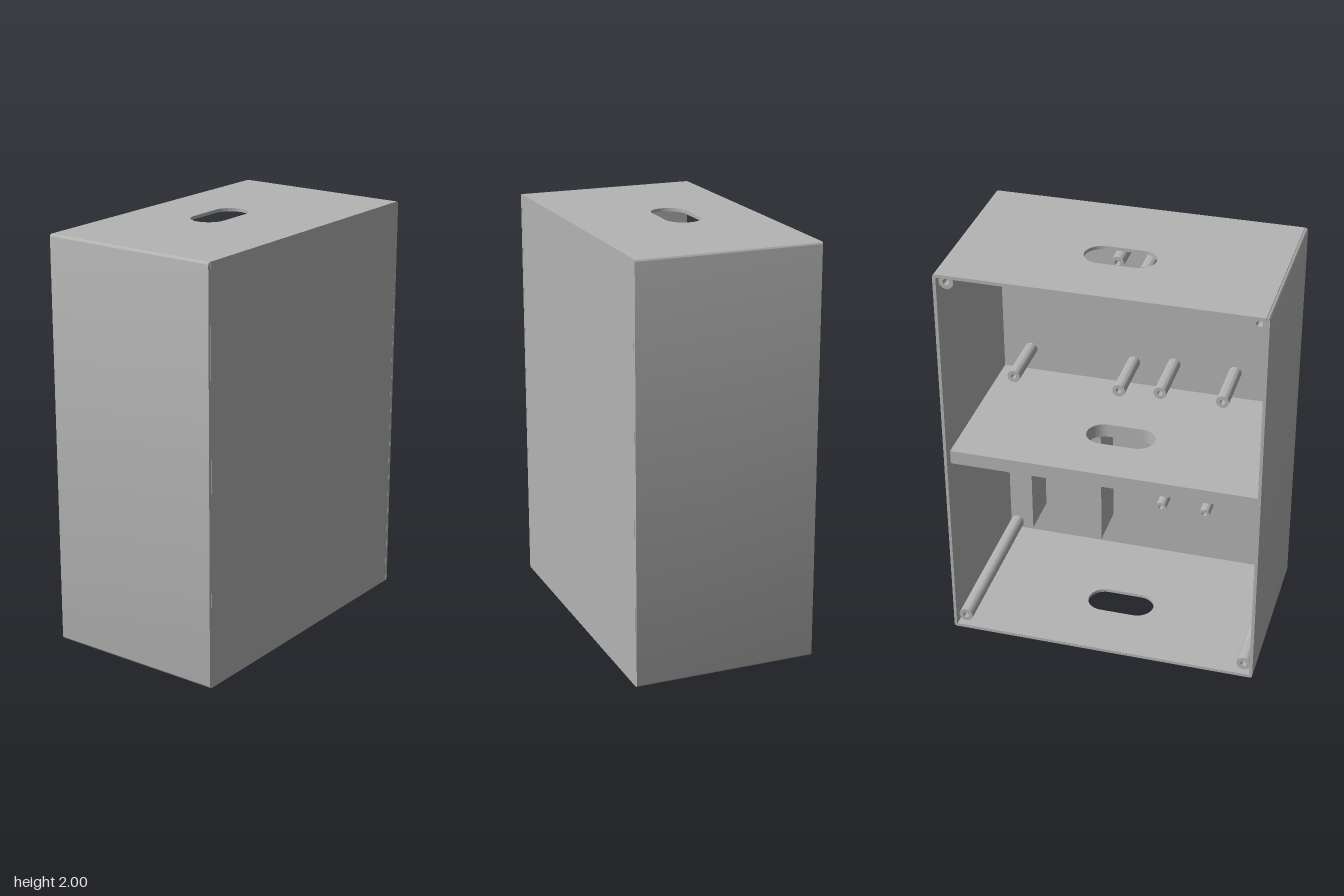
import * as THREE from 'three';
import { toCreasedNormals } from 'three/addons/utils/BufferGeometryUtils.js';

const W = 0.765, H = 2, D = 0.445;   // half width, height, half depth
const T = 0.016, R = 0.014;          // wall thickness, outer edge rounding
const FRONT_IN = 0.425;              // inner face of the front wall

export function createModel() {
  const group = new THREE.Group();
  const grey = new THREE.MeshStandardMaterial({ color: 0xb4b4b4 });
  grey.name = 'grey plastic';

  const add = (name, geometry) => {
    const mesh = new THREE.Mesh(geometry, grey);
    mesh.name = name;
    group.add(mesh);
    return mesh;
  };
  const extrude = (shape, depth) => toCreasedNormals(
    new THREE.ExtrudeGeometry(shape, { depth, bevelEnabled: false, curveSegments: 16 }), 0.6);
  const box = (name, x0, x1, y0, y1, z0, z1) => {
    add(name, new THREE.BoxGeometry(x1 - x0, y1 - y0, z1 - z0))
      .position.set((x0 + x1) / 2, (y0 + y1) / 2, (z0 + z1) / 2);
  };

  // Horizontal plate with a rounded hand slot, lying from y0 to y0 + thickness
  const slottedPlate = (name, y0, thickness, zBack, zFront) => {
    const w = W - T, r = 0.085, half = 0.17 - r, zc = -0.065;
    const shape = new THREE.Shape();
    shape.moveTo(-w, -zFront);
    shape.lineTo(w, -zFront);
    shape.lineTo(w, -zBack);
    shape.lineTo(-w, -zBack);
    shape.closePath();
    const slot = new THREE.Path();
    slot.absarc(half, -zc, r, -Math.PI / 2, Math.PI / 2, false);
    slot.absarc(-half, -zc, r, Math.PI / 2, Math.PI * 1.5, false);
    slot.closePath();
    shape.holes.push(slot);
    const geometry = extrude(shape, thickness);
    geometry.rotateX(-Math.PI / 2);
    add(name, geometry).position.y = y0;
  };

  // Hollow round standoff growing from the front wall towards the back
  const standoff = (name, x, y, radius, hole, zEnd) => {
    const shape = new THREE.Shape();
    shape.absarc(0, 0, radius, 0, Math.PI * 2, false);
    const bore = new THREE.Path();
    bore.absarc(0, 0, hole, 0, Math.PI * 2, true);
    shape.holes.push(bore);
    add(name, extrude(shape, FRONT_IN - zEnd)).position.set(x, y, zEnd);
  };

  // Case: top, bottom, side walls with rounded outer edges, closed front, open back
  slottedPlate('topPanel', H - T, T, -D, D);
  slottedPlate('bottomPanel', 0, T, -D, D);
  for (const side of [1, -1]) {
    const wall = new THREE.Shape();
    if (side > 0) {
      wall.moveTo(W - T, 0);
      wall.absarc(W - R, R, R, -Math.PI / 2, 0, false);
      wall.absarc(W - R, H - R, R, 0, Math.PI / 2, false);
      wall.lineTo(W - T, H);
    } else {
      wall.moveTo(-W + T, H);
      wall.absarc(-W + R, H - R, R, Math.PI / 2, Math.PI, false);
      wall.absarc(-W + R, R, R, Math.PI, Math.PI * 1.5, false);
      wall.lineTo(-W + T, 0);
    }
    wall.closePath();
    add(side > 0 ? 'leftWall' : 'rightWall', extrude(wall, 2 * D)).position.z = -D;
  }
  box('frontPanel', -W + T, W - T, T, H - T, FRONT_IN, D);

  // Middle shelf
  slottedPlate('shelf', 0.96, 0.07, -0.4, FRONT_IN);

  // Long screw posts in the four corners
  for (const x of [-0.714, 0.714])
    for (const y of [0.051, H - 0.051]) standoff('cornerPost', x, y, 0.035, 0.015, -0.41);

  // Board standoffs in the upper compartment
  const upper = [
    [0.605, 1.15], [0.067, 1.155], [0.072, 1.855], [0.605, 1.855],
    [-0.14, 1.175], [-0.45, 1.175], [-0.062, 1.82], [-0.61, 1.82],
  ];
  for (const [x, y] of upper) standoff('upperStandoff', x, y, 0.032, 0.013, 0.14);

  // Short standoffs in the lower compartment
  for (const x of [-0.115, -0.345])
    for (const y of [0.39, 0.81]) standoff('lowerStandoff', x, y, 0.027, 0.012, 0.29);

  // Upright holder ribs in the lower compartment
  for (const x of [0.176, 0.548]) box('holderRib', x, x + 0.053, 0.2, 0.868, 0.195, FRONT_IN);

  return group;
}
